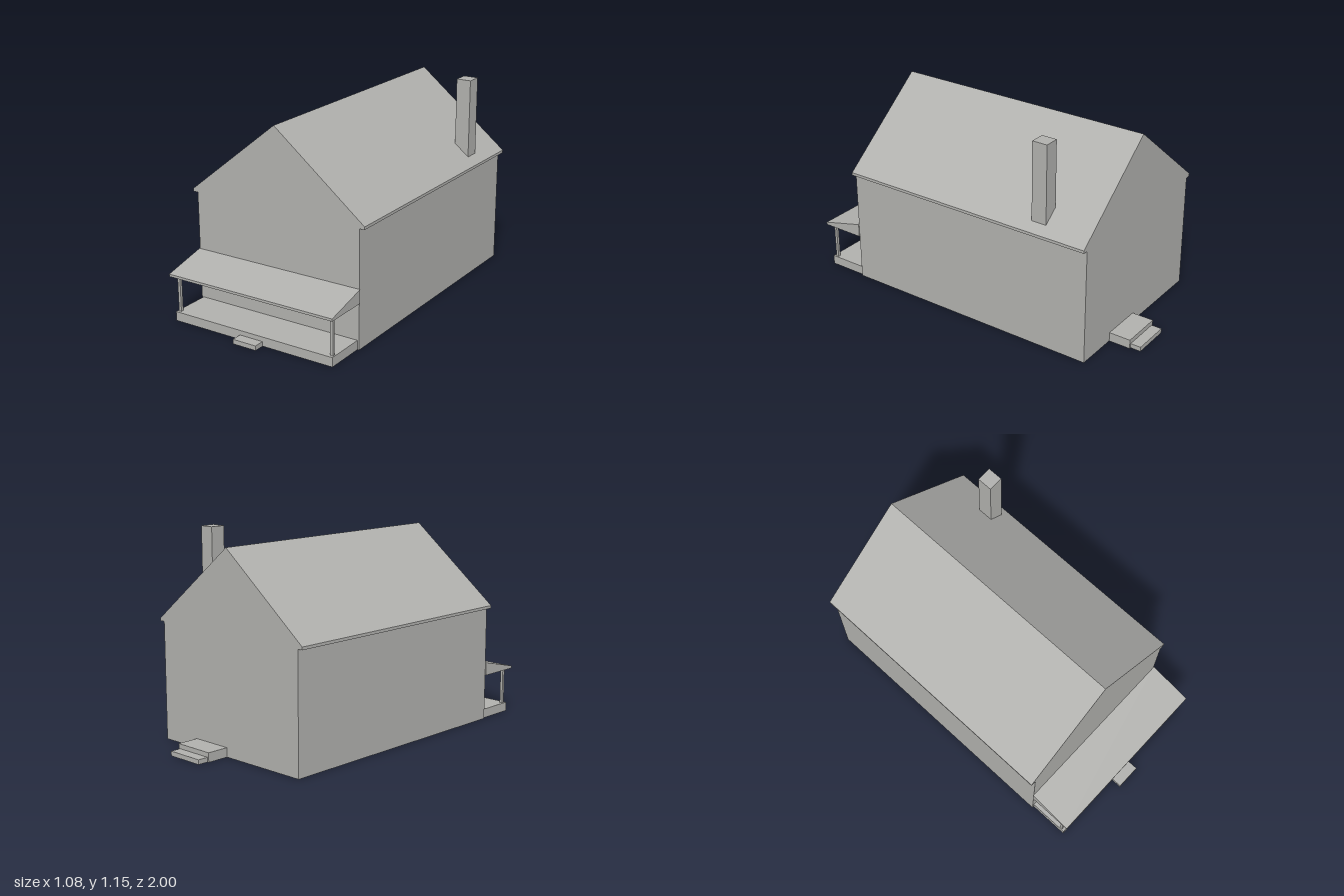
import * as THREE from 'three';

const FRONT = 0.71, BACK = -0.815;
const WALL = 0.51, EAVE = 0.54, SOFFIT = 0.657, LIP = 0.673, RIDGE = 1.105;

export function createModel() {
  const house = new THREE.Group();
  house.name = 'house';
  const grey = new THREE.MeshStandardMaterial({ color: 0xb0b0ad, side: THREE.DoubleSide });
  grey.name = 'plain grey';

  const add = (name, geometry, x = 0, y = 0, z = 0) => {
    const mesh = new THREE.Mesh(geometry, grey);
    mesh.name = name;
    mesh.position.set(x, y, z);
    house.add(mesh);
    return mesh;
  };
  const block = (name, [x0, x1], [y0, y1], [z0, z1]) =>
    add(name, new THREE.BoxGeometry(x1 - x0, y1 - y0, z1 - z0), (x0 + x1) / 2, (y0 + y1) / 2, (z0 + z1) / 2);
  const outline = (points) => new THREE.Shape(points.map(([x, y]) => new THREE.Vector2(x, y)));

  // Sweeps an x-y line from the back of the house to the front as flat strips
  const strip = (name, points) => {
    const corners = [];
    for (let i = 0; i < points.length - 1; i++) {
      const [ax, ay] = points[i], [bx, by] = points[i + 1];
      corners.push(ax, ay, BACK, ax, ay, FRONT, bx, by, BACK);
      corners.push(bx, by, BACK, ax, ay, FRONT, bx, by, FRONT);
    }
    const geometry = new THREE.BufferGeometry();
    geometry.setAttribute('position', new THREE.Float32BufferAttribute(corners, 3));
    geometry.computeVertexNormals();
    add(name, geometry);
  };

  // Hollow shell, open underneath; points run anticlockwise so faces look outward
  strip('leftWall', [[WALL, 0], [WALL, SOFFIT]]);
  strip('rightWall', [[-WALL, SOFFIT], [-WALL, 0]]);
  strip('roof', [[WALL, SOFFIT], [EAVE, SOFFIT], [EAVE, LIP], [0, RIDGE],
    [-EAVE, LIP], [-EAVE, SOFFIT], [-WALL, SOFFIT]]);

  // Gable walls
  const gable = new THREE.ShapeGeometry(outline([[-WALL, 0], [WALL, 0], [WALL, SOFFIT], [EAVE, SOFFIT],
    [EAVE, LIP], [0, RIDGE], [-EAVE, LIP], [-EAVE, SOFFIT], [-WALL, SOFFIT]]));
  add('frontGable', gable, 0, 0, FRONT);
  add('backGable', gable, 0, 0, BACK).rotation.y = Math.PI;

  // Chimney, its foot cut to the roof slope
  add('chimney', new THREE.ExtrudeGeometry(
    outline([[0.405, 0.78], [0.49, 0.712], [0.49, 1.155], [0.405, 1.155]]),
    { depth: 0.088, bevelEnabled: false }), 0, 0, -0.556);

  // Porch roof: side profile drawn in z-y, extruded across the front
  const porchRoof = new THREE.ExtrudeGeometry(
    outline([[-FRONT, 0.335], [-0.963, 0.273], [-0.963, 0.259], [-FRONT, 0.259]]),
    { depth: 1.03, bevelEnabled: false });
  porchRoof.rotateY(Math.PI / 2);
  add('porchRoof', porchRoof, -0.515);
  block('porchRoofLedge', [-0.5, 0.5], [0.259, 0.335], [0.59, FRONT]);

  // Porch deck, posts and step
  block('porchDeck', [-0.5, 0.5], [0, 0.052], [0.59, 0.94]);
  for (const side of [-1, 1]) {
    const x = side * 0.485;
    block(side > 0 ? 'leftPost' : 'rightPost', [x - 0.008, x + 0.008], [0.052, 0.259], [0.908, 0.924]);
  }
  block('frontStep', [-0.072, 0.072], [0, 0.026], [0.94, 1]);

  // Back landing and step
  block('backLanding', [0.02, 0.26], [0, 0.052], [-0.94, BACK]);
  block('backStep', [0.03, 0.25], [0, 0.026], [-1, -0.94]);

  return house;
}
